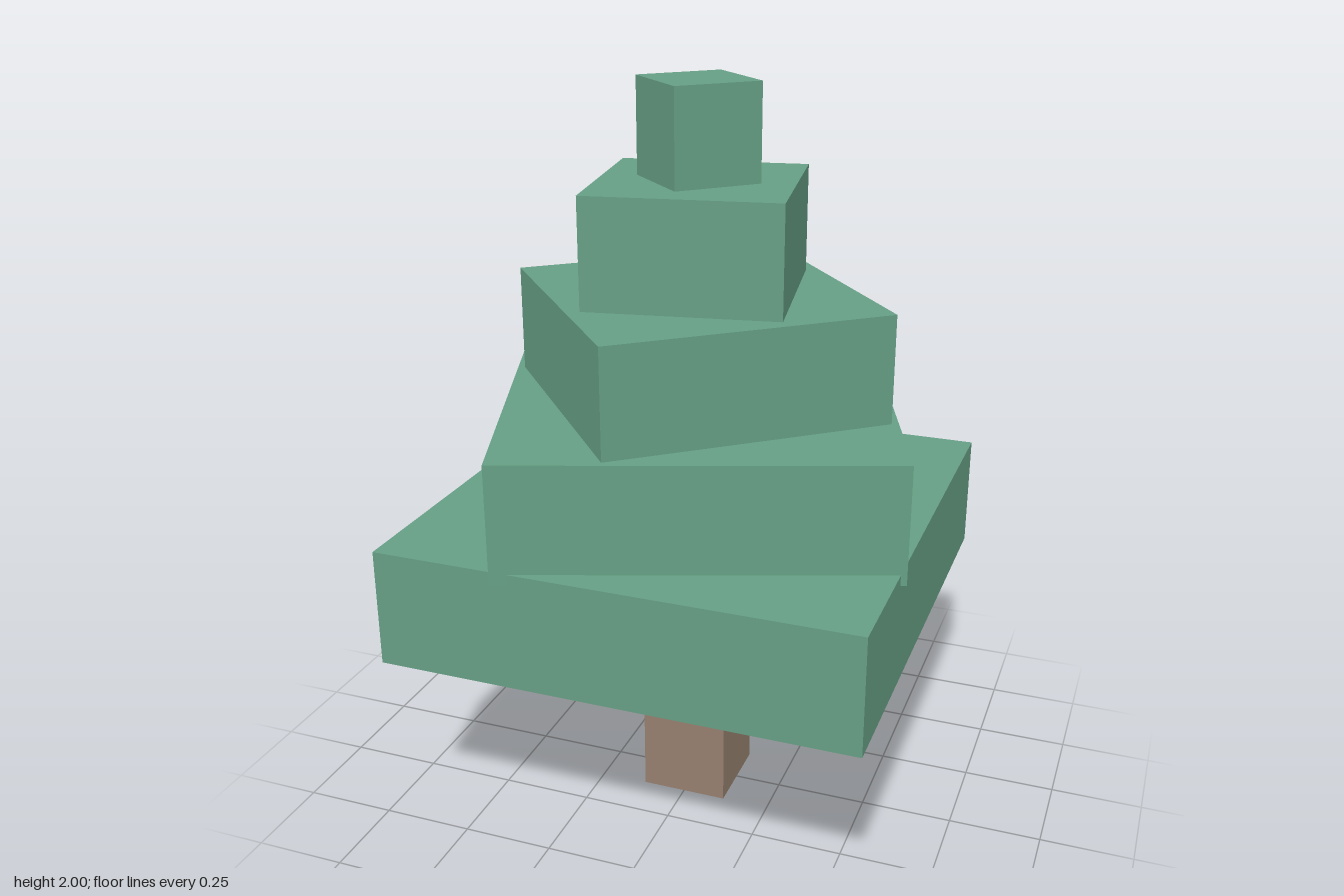
import * as THREE from 'three';

export function createModel() {
  const tree = new THREE.Group();
  tree.name = 'tree';

  const foliage = new THREE.MeshStandardMaterial({ color: 0x669f84 });
  foliage.name = 'foliageGreen';
  const bark = new THREE.MeshStandardMaterial({ color: 0x957f6e });
  bark.name = 'barkBrown';

  // Square block spanning two heights, turned about the trunk axis
  function block(name, width, bottom, top, degrees, material) {
    const mesh = new THREE.Mesh(new THREE.BoxGeometry(width, top - bottom, width), material);
    mesh.name = name;
    mesh.position.y = (bottom + top) / 2;
    mesh.rotation.y = THREE.MathUtils.degToRad(degrees);
    tree.add(mesh);
  }

  block('trunk', 0.24, 0, 0.6, 0, bark);

  // Foliage tiers, bottom to top: width, bottom, top, twist in degrees
  const tiers = [
    [1.27, 0.575, 0.89, 0],
    [1.014, 0.862, 1.176, 20],
    [0.762, 1.148, 1.462, 40],
    [0.505, 1.435, 1.75, 10],
    [0.236, 1.72, 2, 45],
  ];
  tiers.forEach(([width, bottom, top, twist], i) =>
    block(`foliageTier${i + 1}`, width, bottom, top, twist, foliage));

  return tree;
}
